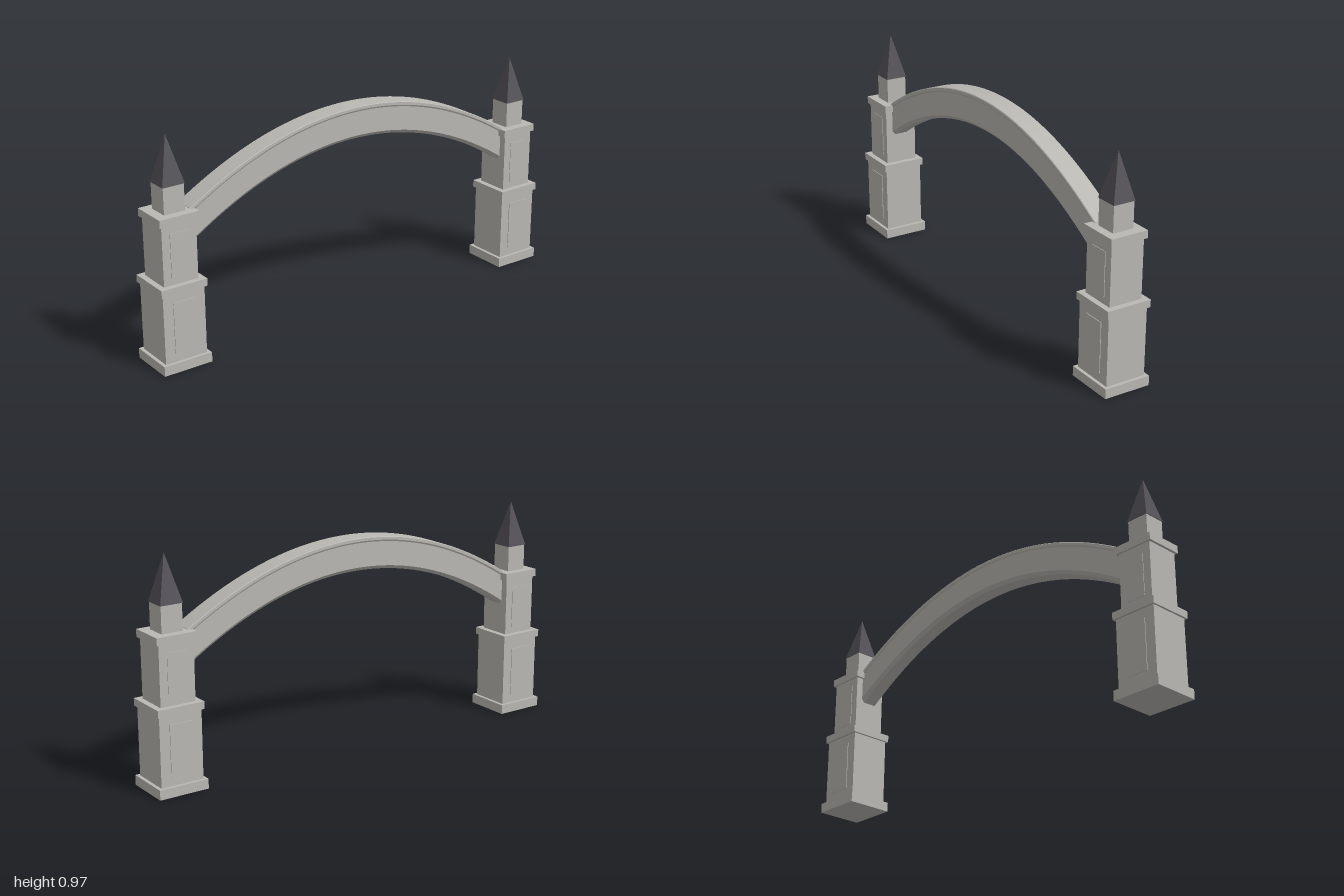
import * as THREE from 'three';

const stone = new THREE.MeshStandardMaterial({ color: 0xbab8b3 });
stone.name = 'pale stone';
const slate = new THREE.MeshStandardMaterial({ color: 0x56545a });
slate.name = 'dark slate';

function block(parent, name, w, d, y0, y1, z = 0) {
  const mesh = new THREE.Mesh(new THREE.BoxGeometry(w, y1 - y0, d), stone);
  mesh.position.set(0, (y0 + y1) / 2, z);
  mesh.name = name;
  parent.add(mesh);
}

// Stepped pier with thin face panels and a pointed finial
function makePier(name, x) {
  const pier = new THREE.Group();
  pier.name = name;
  pier.position.x = x;
  block(pier, 'plinth', 0.22, 0.208, 0, 0.042);
  block(pier, 'lowerShaft', 0.19, 0.18, 0.042, 0.338);
  block(pier, 'lowerCornice', 0.208, 0.2, 0.338, 0.37);
  block(pier, 'upperShaft', 0.156, 0.15, 0.37, 0.624);
  block(pier, 'upperCornice', 0.178, 0.168, 0.624, 0.657);
  block(pier, 'finialPost', 0.094, 0.094, 0.657, 0.772);
  for (const s of [1, -1]) {
    block(pier, 'lowerPanel', 0.1, 0.006, 0.08, 0.3, s * 0.09);
    block(pier, 'upperPanel', 0.085, 0.006, 0.4, 0.588, s * 0.0745);
  }
  // Four-sided spire
  const cone = new THREE.ConeGeometry(0.05 * Math.SQRT2, 0.198, 4, 1).toNonIndexed();
  cone.rotateY(Math.PI / 4);
  cone.computeVertexNormals();
  const spire = new THREE.Mesh(cone, slate);
  spire.position.y = 0.77 + 0.099;
  spire.name = 'spire';
  pier.add(spire);
  return pier;
}

// Sweeps a cross-section of [z, crown height] points along the curve of the arch
function makeArch() {
  const half = [
    [0.044, 0.917], [0.047, 0.914], [0.047, 0.902], [0.043, 0.895], [0.043, 0.79], [0.03, 0.775],
  ];
  const section = [...half, ...half.slice().reverse().map(([z, y]) => [-z, y])];
  const steps = 48, reach = 0.82;
  const at = ([z, y], i) => {
    const t = (i / steps) * 2 - 1;
    const drop = 0.258 + (0.917 - y) * 0.1;
    return [t * reach, y - drop * t * t, z];
  };
  const positions = [], index = [];
  // Each strip has its own vertices: smooth along the arch, sharp across it
  section.forEach((p, k) => {
    const q = section[(k + 1) % section.length];
    const start = positions.length / 3;
    for (let i = 0; i <= steps; i++) {
      positions.push(...at(p, i), ...at(q, i));
      if (i < steps) {
        const a = start + i * 2;
        index.push(a, a + 1, a + 2, a + 1, a + 3, a + 2);
      }
    }
  });
  // Closed ends
  for (const i of [0, steps]) {
    const start = positions.length / 3;
    section.forEach((p) => positions.push(...at(p, i)));
    for (let k = 0; k < half.length - 1; k++) {
      const a = start + k, b = a + 1;
      const c = start + section.length - 1 - k, d = c - 1;
      if (i === 0) index.push(a, c, b, b, c, d);
      else index.push(a, b, c, b, d, c);
    }
  }
  const geometry = new THREE.BufferGeometry();
  geometry.setAttribute('position', new THREE.Float32BufferAttribute(positions, 3));
  // Orient every triangle away from the arch's own centre line
  for (let f = 0; f < index.length; f += 3) {
    const v = [0, 1, 2].map((j) => new THREE.Vector3().fromArray(positions, index[f + j] * 3));
    const mid = v[0].clone().add(v[1]).add(v[2]).divideScalar(3);
    const t = mid.x / reach;
    const core = new THREE.Vector3(mid.x * 0.999, 0.846 - 0.265 * t * t, 0);
    const normal = v[1].sub(v[0]).cross(v[2].sub(v[0]));
    if (normal.dot(mid.sub(core)) < 0) [index[f + 1], index[f + 2]] = [index[f + 2], index[f + 1]];
  }
  geometry.setIndex(index);
  geometry.computeVertexNormals();
  const arch = new THREE.Mesh(geometry, stone);
  arch.name = 'arch';
  return arch;
}

export function createModel() {
  const model = new THREE.Group();
  model.name = 'archedGateway';
  model.add(makePier('leftPier', 0.89), makePier('rightPier', -0.89), makeArch());
  return model;
}
